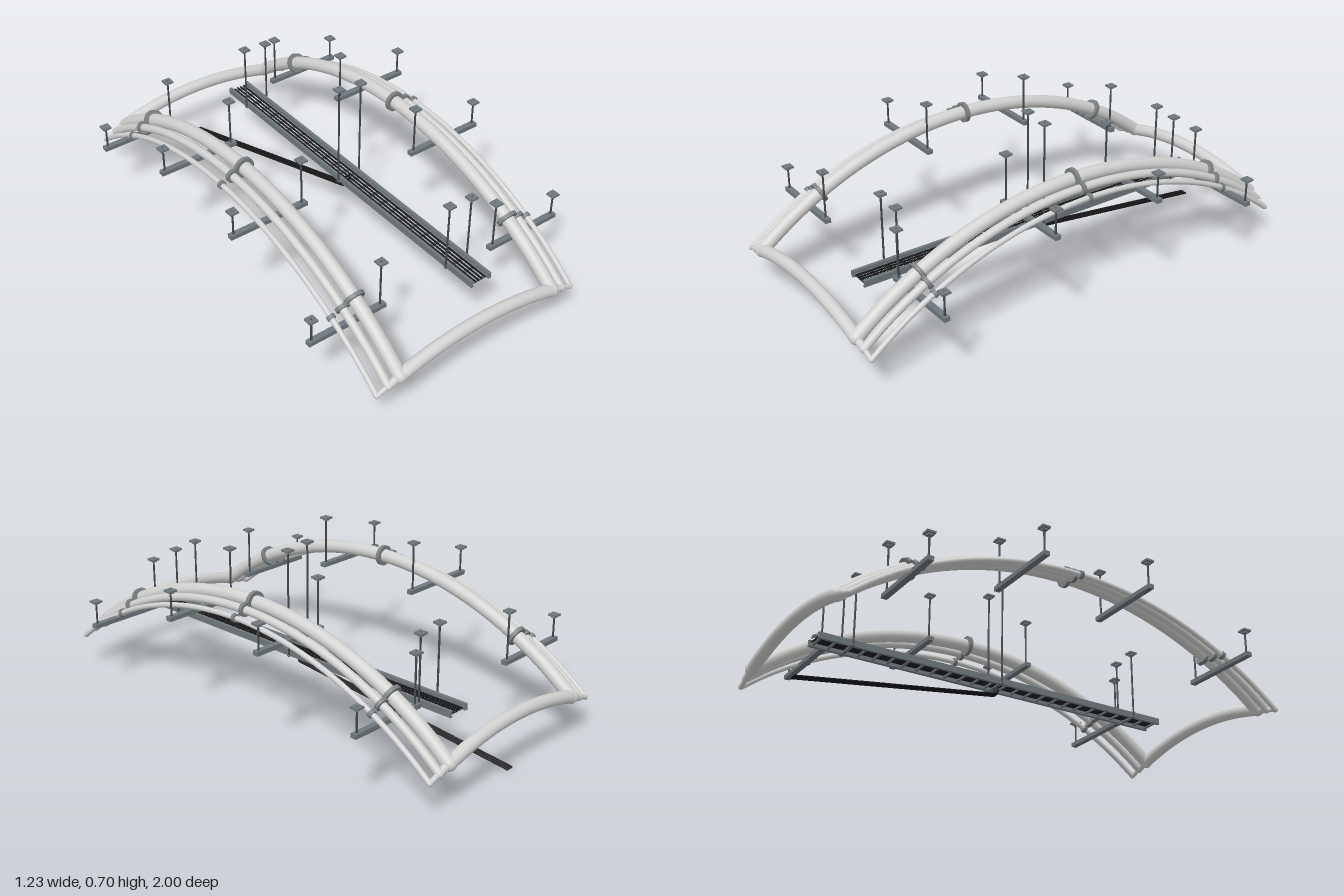
import * as THREE from 'three';

const mat = (name, color) => {
  const m = new THREE.MeshStandardMaterial({ color });
  m.name = name;
  return m;
};

// Vertical drop of a circular arc of radius R at distance d from its crown
const drop = (R, d) => R - Math.sqrt(R * R - d * d);
const LONG_R = 1.53, CROSS_R = 1.29, END_Z = 0.971, CROWN_Y = 0.527, BEAM_Y = 0.235;
const pipes = [
  { name: 'mainPipe', x: 0.378, r: 0.028, flange: 0.043 },
  { name: 'middlePipe', x: 0.432, r: 0.017, flange: 0.028 },
  { name: 'smallPipe', x: 0.483, r: 0.011, flange: 0.017 },
];

export function createModel() {
  const model = new THREE.Group();
  const duct = mat('ductGrey', 0xd2d2d0);
  const collar = mat('collarGrey', 0x7c8284);
  const steel = mat('hangerSteel', 0x6e787c);
  const rodMat = mat('rodGrey', 0x44494c);
  const black = mat('cableBlack', 0x161616);

  const add = (parent, name, geo, material, x = 0, y = 0, z = 0) => {
    const mesh = new THREE.Mesh(geo, material);
    mesh.name = name;
    mesh.position.set(x, y, z);
    parent.add(mesh);
    return mesh;
  };
  const group = (name) => {
    const g = new THREE.Group();
    g.name = name;
    model.add(g);
    return g;
  };
  const box = (w, h, d) => new THREE.BoxGeometry(w, h, d);
  // Tube through points sampled from f(t), t running from -1 to 1
  const arcTube = (f, r, n = 48) => {
    const pts = [];
    for (let i = 0; i <= 24; i++) pts.push(f(i / 12 - 1));
    return new THREE.TubeGeometry(new THREE.CatmullRomCurve3(pts), n, r, 20);
  };

  // Nested pipe loops: arched runs along z, arched cross pieces at both ends
  for (const p of pipes) {
    const g = group(p.name + 'Loop');
    const shift = drop(CROSS_R, p.x) - drop(CROSS_R, pipes[0].x);
    const runY = (z) => CROWN_Y - shift - drop(LONG_R, z);
    const endY = runY(END_Z);
    for (const s of [-1, 1]) {
      add(g, p.name, arcTube((t) =>
        new THREE.Vector3(s * p.x, runY(t * END_Z), t * END_Z), p.r), duct);
      add(g, p.name + 'CrossPiece', arcTube((t) =>
        new THREE.Vector3(t * p.x, endY + drop(CROSS_R, p.x) - drop(CROSS_R, t * p.x), s * END_Z),
      p.r * 0.94), duct);
      for (const e of [-1, 1]) {
        add(g, p.name + 'Elbow', new THREE.SphereGeometry(p.r, 20, 14), duct,
          s * p.x, endY, e * END_Z);
      }
      // Joint collars square to the pipe
      for (const z of [-0.7, 0, 0.7]) {
        const c = add(g, p.name + 'Collar', new THREE.CylinderGeometry(p.flange, p.flange, 0.016, 28),
          collar, s * p.x, runY(z), z);
        c.rotation.x = Math.PI / 2 + Math.asin(z / LONG_R);
      }
    }
  }

  // Threaded rod with a ceiling plate on top
  const hangerRod = (parent, x, y0, y1, z) => {
    add(parent, 'rod', new THREE.CylinderGeometry(0.004, 0.004, y1 - y0, 10), rodMat, x, (y0 + y1) / 2, z);
    add(parent, 'ceilingPlate', box(0.037, 0.008, 0.037), steel, x, y1 - 0.004, z);
    add(parent, 'rodNut', box(0.02, 0.007, 0.02), steel, x, y1 - 0.0115, z);
  };

  // Trapeze hangers below the pipes
  const trapezes = [
    { z: 0.244, y: 0.454, outer: 0.572, inner: 0.667 },
    { z: 0.73, y: 0.287, outer: 0.397, inner: 0.503 },
  ];
  for (const t of trapezes) for (const s of [-1, 1]) for (const e of [-1, 1]) {
    const g = group('trapezeHanger');
    add(g, 'trapezeBar', box(0.352, 0.018, 0.025), steel, s * 0.435, t.y, e * t.z);
    hangerRod(g, s * 0.594, t.y - 0.01, t.outer, e * t.z);
    hangerRod(g, s * 0.28, t.y - 0.01, t.inner, e * t.z);
  }

  // Cable tray: two channel rails and a row of rungs
  const tray = group('cableTray');
  const TX = 0.14, TL = 1.65;
  for (const s of [-1, 1]) {
    add(tray, 'trayRail', box(0.005, 0.027, TL), steel, TX + s * 0.0475, 0.2525, 0);
    for (const y of [0.241, 0.264]) {
      add(tray, 'railLip', box(0.011, 0.003, TL), steel, TX + s * 0.0425, y, 0);
    }
  }
  const RUNGS = 26;
  for (let i = 0; i < RUNGS; i++) {
    add(tray, 'trayRung', box(0.09, 0.006, 0.01), steel, TX, 0.246,
      (i / (RUNGS - 1) - 0.5) * (TL - 0.03));
  }
  for (const [z, top] of [[-0.68, 0.55], [0, 0.705], [0.68, 0.55]]) {
    add(tray, 'traySupport', box(0.118, 0.006, 0.014), steel, 0.1415, 0.243, z);
    hangerRod(tray, 0.087, 0.238, top, z);
    hangerRod(tray, 0.196, 0.238, top - 0.01, z);
  }

  // Cables lying in the tray, and the flat bundle branching off to the floor
  const cables = group('cables');
  for (let i = 0; i < 4; i++) {
    const k = i - 1.5;
    const c = add(cables, 'trayCable', new THREE.CylinderGeometry(0.004, 0.004, TL - 0.01, 10), black,
      TX + k * 0.016, 0.253, 0);
    c.rotation.x = Math.PI / 2;
    const path = new THREE.CurvePath();
    const a = new THREE.Vector3(0.13 + k * 0.0085, 0.253, 0);
    const b = new THREE.Vector3(0.13 + k * 0.0085, 0.204, -0.001);
    const d = new THREE.Vector3(-0.011 + k * 0.0085, 0.0045, -0.962);
    path.add(new THREE.LineCurve3(a, b));
    path.add(new THREE.LineCurve3(b, d));
    add(cables, 'branchCable', new THREE.TubeGeometry(path, 60, 0.0045, 10), black);
  }
  return model;
}
